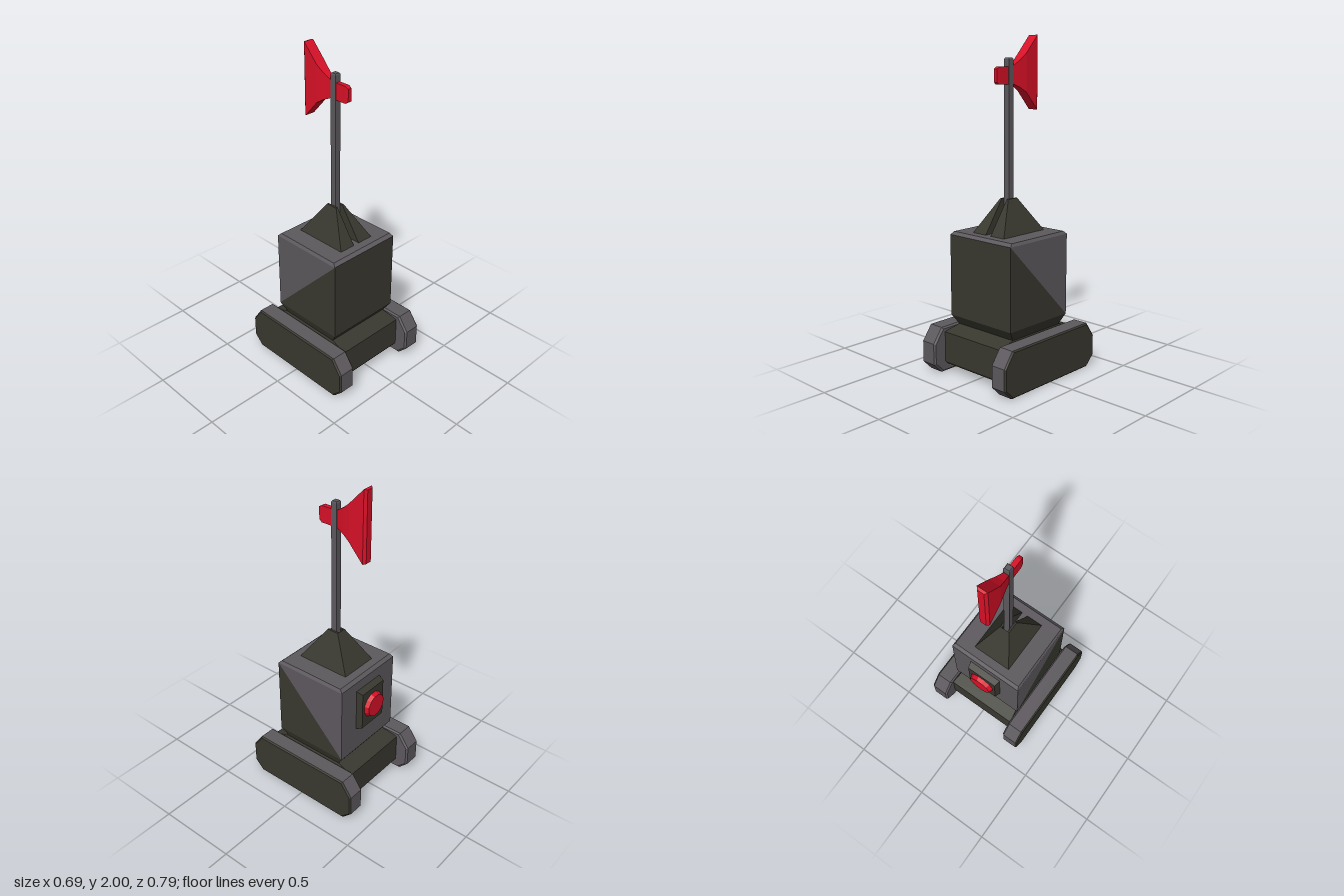
import * as THREE from 'three';

const material = (name, color) => {
  const m = new THREE.MeshStandardMaterial({ color });
  m.name = name;
  return m;
};

// Flat-faced geometry from convex polygons, corners counter-clockwise from outside
function faces(polys) {
  const pos = [];
  for (const p of polys)
    for (let i = 1; i < p.length - 1; i++) pos.push(...p[0], ...p[i], ...p[i + 1]);
  const g = new THREE.BufferGeometry();
  g.setAttribute('position', new THREE.Float32BufferAttribute(pos, 3));
  g.computeVertexNormals();
  return g;
}

// Skin over rings that are counter-clockwise seen from +z, ordered by rising z
function loft(rings, capStart = true, capEnd = true) {
  const polys = [];
  for (let r = 0; r < rings.length - 1; r++) {
    const a = rings[r], b = rings[r + 1];
    a.forEach((_, i) => {
      const j = (i + 1) % a.length;
      polys.push([a[i], a[j], b[j], b[i]]);
    });
  }
  if (capStart) polys.push([...rings[0]].reverse());
  if (capEnd) polys.push(rings[rings.length - 1]);
  return faces(polys);
}

const rect = (x, y0, y1, z) => [[-x, y0, z], [x, y0, z], [x, y1, z], [-x, y1, z]];

// Stack of rectangles [half x, half z, height], standing along y
const tower = (levels) =>
  loft(levels.map(([x, z, y]) => rect(x, -z, z, y))).rotateX(-Math.PI / 2);

// Mirrors polygons across x = 0 and keeps both copies
const bothSides = (polys) => [
  ...polys,
  ...polys.map((p) => p.map(([x, y, z]) => [-x, y, z]).reverse()),
];

export function createModel() {
  const model = new THREE.Group();
  const grey = material('grey metal', 0x5d595e);
  const dark = material('dark olive', 0x39382f);
  const red = material('signal red', 0xd81027);
  const add = (name, geometry, mat, parent = model) => {
    const mesh = new THREE.Mesh(geometry, mat);
    mesh.name = name;
    parent.add(mesh);
    return mesh;
  };

  // Tracks: octagonal belts with dark outer side panels
  const outline = [
    [-0.335, 0], [0.335, 0], [0.395, 0.06], [0.395, 0.19],
    [0.33, 0.28], [-0.33, 0.28], [-0.395, 0.19], [-0.395, 0.06],
  ];
  const trackRing = (x, s) => outline.map(([u, v]) => [u * (1 - s / 0.395), 0.14 + (v - 0.14) * (1 - s / 0.14), x]);
  for (const side of [1, -1]) {
    const track = new THREE.Group();
    track.name = side > 0 ? 'leftTrack' : 'rightTrack';
    const belt = loft([trackRing(0.233, 0.01), trackRing(0.243, 0), trackRing(0.337, 0)], true, false);
    const panel = loft([trackRing(0.337, 0), trackRing(0.346, 0.008)], false, true);
    add('trackBelt', belt.rotateY(Math.PI / 2), grey, track);
    add('trackPanel', panel.rotateY(Math.PI / 2), dark, track);
    if (side < 0) track.rotation.y = Math.PI;
    model.add(track);
  }

  // Chassis between the tracks, and the flared neck under the body
  add('chassis', tower([[0.22, 0.3, 0.05], [0.235, 0.31, 0.065], [0.235, 0.31, 0.25], [0.22, 0.2, 0.28]]), dark);
  add('neck', tower([[0.22, 0.2, 0.275], [0.245, 0.245, 0.34]]), dark);

  // Body: dark front and grey back, divided along a diagonal on each side
  const w = 0.245, lo = 0.34, hi = 0.837, top = 0.855, tx = 0.234, tz = 0.225;
  const frontLow = [w, lo, w], backLow = [w, lo, -w], backHigh = [w, hi, -w], frontHigh = [w, hi, w];
  const flip = ([x, y, z]) => [-x, y, z];
  add('bodyFront', faces([
    [flip(frontLow), frontLow, frontHigh, flip(frontHigh)],
    ...bothSides([[frontLow, backLow, frontHigh]]),
  ]), dark);
  add('bodyBack', faces([
    [backLow, flip(backLow), flip(backHigh), backHigh],
    ...bothSides([[backLow, backHigh, frontHigh]]),
  ]), grey);
  add('bodyLid', tower([[w, w, hi], [tx, tz, top]]), grey);

  // Mast mount: hollow pyramid, slotted at the front
  const bx = 0.125, bz = 0.174, px = 0.032, pz = 0.038, peak = 1.055, slot = 0.02;
  add('mastMount', faces([
    [[bx, top, -bz], [-bx, top, -bz], [-px, peak, -pz], [px, peak, -pz]],
    ...bothSides([
      [[bx, top, bz], [bx, top, -bz], [px, peak, -pz], [px, peak, pz]],
      [[slot, top, bz], [bx, top, bz], [px, peak, pz], [slot, peak, pz]],
      [[slot, top, -bz], [slot, top, bz], [slot, peak, pz], [slot, peak, -pz]],
      [[slot, peak, pz], [px, peak, pz], [px, peak, -pz], [slot, peak, -pz]],
    ]),
  ]), dark);

  // Mast
  add('mast', tower([[0.019, 0.019, 0.875], [0.019, 0.019, 1.862], [0.015, 0.015, 1.87]]), grey);

  // Wind vane: fanned tail behind the mast, short nose ahead of it
  add('vaneTail', loft([
    rect(0.02, 1.57, 1.995, -0.226),
    rect(0.033, 1.565, 2, -0.211),
    rect(0.033, 1.672, 1.896, -0.115),
    rect(0.025, 1.7, 1.857, -0.07),
    rect(0.015, 1.722, 1.823, -0.018),
  ]), red);
  add('vaneNose', loft([
    rect(0.015, 1.72, 1.82, 0.018),
    rect(0.015, 1.72, 1.82, 0.09),
    rect(0.012, 1.733, 1.808, 0.11),
  ]), red);

  // Rear button on its plate
  add('buttonPlate', loft([rect(0.099, 0.515, 0.76, -0.284), rect(0.109, 0.5, 0.775, -0.244)]), dark);
  const button = loft([[-0.31, 0.072], [-0.284, 0.083]].map(([z, r]) =>
    Array.from({ length: 12 }, (_, i) => {
      const a = ((i + 0.5) * Math.PI) / 6;
      return [r * Math.cos(a), 0.643 + r * Math.sin(a), z];
    })));
  add('button', button, red);

  return model;
}
